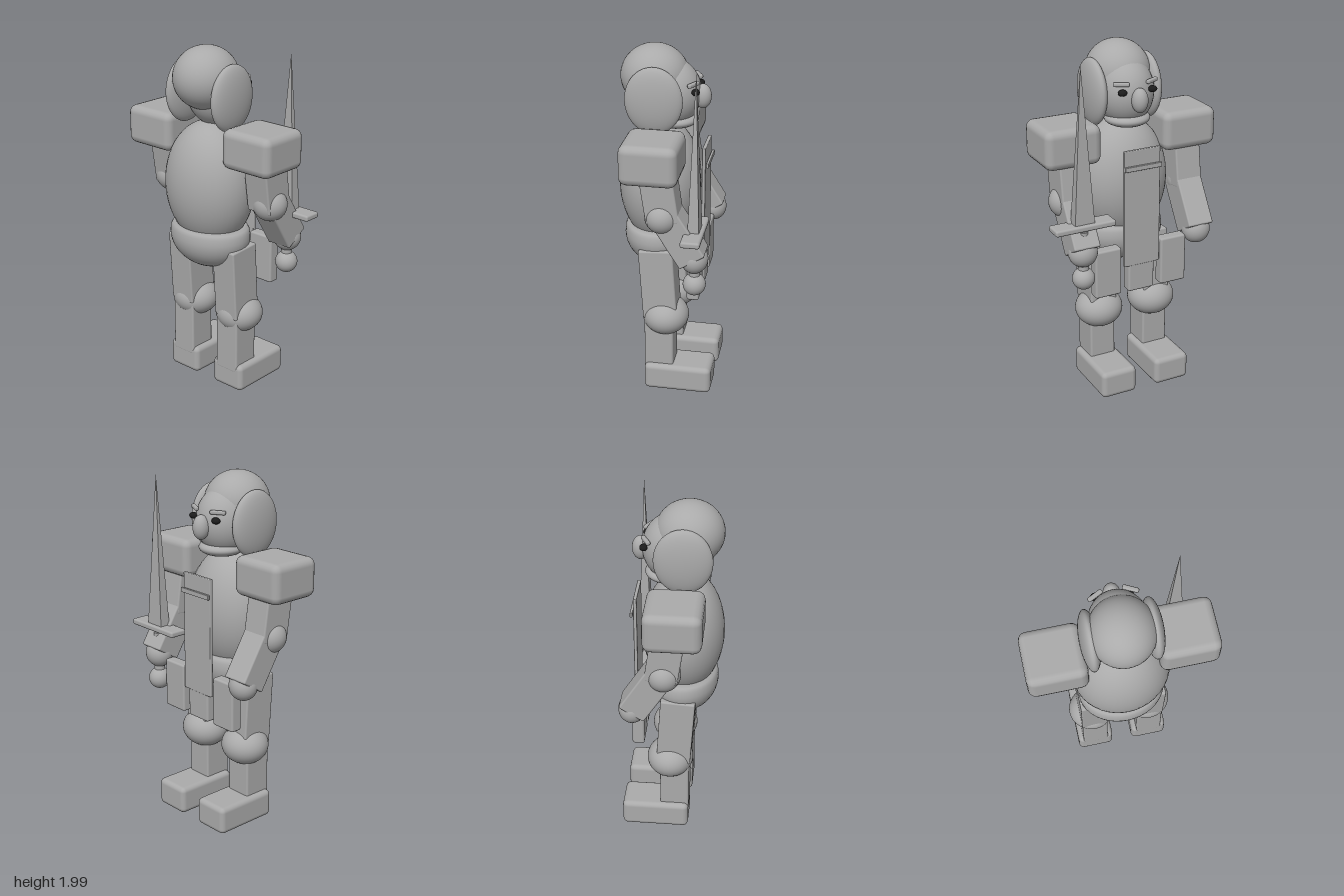
import * as THREE from 'three';
import { RoundedBoxGeometry } from 'three/addons/geometries/RoundedBoxGeometry.js';

const stone = new THREE.MeshStandardMaterial({ color: 0xaaaaaa });
stone.name = 'stone grey';
const dark = new THREE.MeshStandardMaterial({ color: 0x1c1c1c });
dark.name = 'eye black';

function add(parent, name, geometry, pos, material = stone) {
  const mesh = new THREE.Mesh(geometry, material);
  mesh.name = name;
  mesh.position.set(...pos);
  parent.add(mesh);
  return mesh;
}

function ellipsoid(parent, name, pos, radii, material) {
  const mesh = add(parent, name, new THREE.SphereGeometry(1, 40, 28), pos, material);
  mesh.scale.set(...radii);
  return mesh;
}

function box(parent, name, pos, size, radius = 0.012, tilt = 0) {
  const mesh = add(parent, name, new RoundedBoxGeometry(...size, 2, radius), pos);
  mesh.rotation.z = tilt;
  return mesh;
}

// Box limb running between two points in the xy plane
function limb(parent, name, from, to, z, width, depth) {
  const dx = to[0] - from[0], dy = to[1] - from[1];
  const mid = [(from[0] + to[0]) / 2, (from[1] + to[1]) / 2, z];
  return box(parent, name, mid, [width, Math.hypot(dx, dy), depth], 0.01, Math.atan2(dx, -dy));
}

export function createModel() {
  const model = new THREE.Group();
  model.name = 'knight';

  // Body faces +x
  const body = new THREE.Group();
  body.name = 'body';
  body.position.z = -0.004;
  model.add(body);

  ellipsoid(body, 'torso', [-0.055, 1.22, 0], [0.228, 0.36, 0.27]);

  // Hips: bowl with a rounded rim
  const profile = [];
  for (let i = 0; i <= 12; i++) {
    const a = (i / 12) * Math.PI / 2;
    profile.push(new THREE.Vector2(Math.sin(a), 0.92 - 0.19 * Math.cos(a)));
  }
  profile.push(new THREE.Vector2(0.985, 0.955), new THREE.Vector2(0.94, 0.975),
    new THREE.Vector2(0.85, 0.985), new THREE.Vector2(0, 0.985));
  const hips = add(body, 'hips', new THREE.LatheGeometry(profile, 40), [-0.055, 0, 0]);
  hips.scale.set(0.2, 1, 0.247);

  // Head
  ellipsoid(body, 'face', [0.0, 1.735, 0], [0.17, 0.19, 0.16]);
  ellipsoid(body, 'hair', [-0.085, 1.825, 0], [0.187, 0.175, 0.178]);
  ellipsoid(body, 'jaw', [0.03, 1.59, 0], [0.125, 0.047, 0.127]);
  ellipsoid(body, 'nose', [0.178, 1.722, 0], [0.047, 0.068, 0.045]);

  // Front cloth with its band and the middle skirt plate
  box(body, 'frontPanel', [0.203, 1.12, 0], [0.02, 0.68, 0.22], 0.005);
  box(body, 'panelBand', [0.224, 1.361, 0], [0.015, 0.028, 0.225], 0.004);
  box(body, 'middleSkirtPlate', [0.176, 0.73, 0], [0.068, 0.22, 0.16]);

  for (const [side, s] of [['left', -1], ['right', 1]]) {
    // Head details
    ellipsoid(body, side + 'SideHair', [-0.062, 1.732, s * 0.165], [0.158, 0.185, 0.052]);
    ellipsoid(body, side + 'Eye', [0.152, 1.768, s * 0.09], [0.022, 0.018, 0.026], dark);
    const brow = box(body, side + 'Brow', [0.14, 1.811, s * 0.092], [0.024, 0.022, 0.088], 0.008);
    brow.rotation.y = -s * 0.48;

    // Arm
    box(body, side + 'ShoulderPlate', [-0.032, 1.487, s * 0.355], [0.312, 0.222, 0.328], 0.045);
    limb(body, side + 'UpperArm', [-0.015, 1.48], [0.035, 1.14], s * 0.354, 0.18, 0.157);
    ellipsoid(body, side + 'Elbow', [0.022, 1.163, s * 0.37], [0.094, 0.094, 0.098]);
    limb(body, side + 'Forearm', [0.035, 1.18], [0.195, 0.925], s * 0.354, 0.16, 0.155);
    ellipsoid(body, side + 'Hand', [0.196, 0.92, s * 0.355], [0.076, 0.082, 0.082]);

    // Skirt plate and leg
    box(body, side + 'SkirtPlate', [0.176, 0.762, s * 0.204], [0.068, 0.282, 0.16]);
    limb(body, side + 'Thigh', [-0.043, 0.885], [-0.016, 0.465], s * 0.17, 0.195, 0.16);
    ellipsoid(body, side + 'Knee', [0.005, 0.458, s * 0.17], [0.132, 0.112, 0.138]);
    box(body, side + 'Shin', [-0.024, 0.3, s * 0.17], [0.166, 0.36, 0.155]);
    box(body, side + 'Foot', [0.087, 0.087, s * 0.17], [0.386, 0.162, 0.218], 0.03);
  }

  // Sword held upright in the +z hand
  const sword = new THREE.Group();
  sword.name = 'sword';
  sword.position.set(0.197, 0, 0.35);
  model.add(sword);
  ellipsoid(sword, 'pommel', [0, 0.765, 0], [0.063, 0.063, 0.063]);
  add(sword, 'grip', new THREE.CylinderGeometry(0.03, 0.03, 0.27, 20), [0, 0.91, 0]);
  box(sword, 'guard', [0, 1.078, 0], [0.105, 0.035, 0.356], 0.012);
  const bladeShape = new THREE.ConeGeometry(Math.SQRT2, 0.9, 4).rotateY(Math.PI / 4).toNonIndexed();
  bladeShape.scale(0.032, 1, 0.06);
  bladeShape.computeVertexNormals();
  add(sword, 'blade', bladeShape, [0, 1.515, 0]);

  return model;
}
